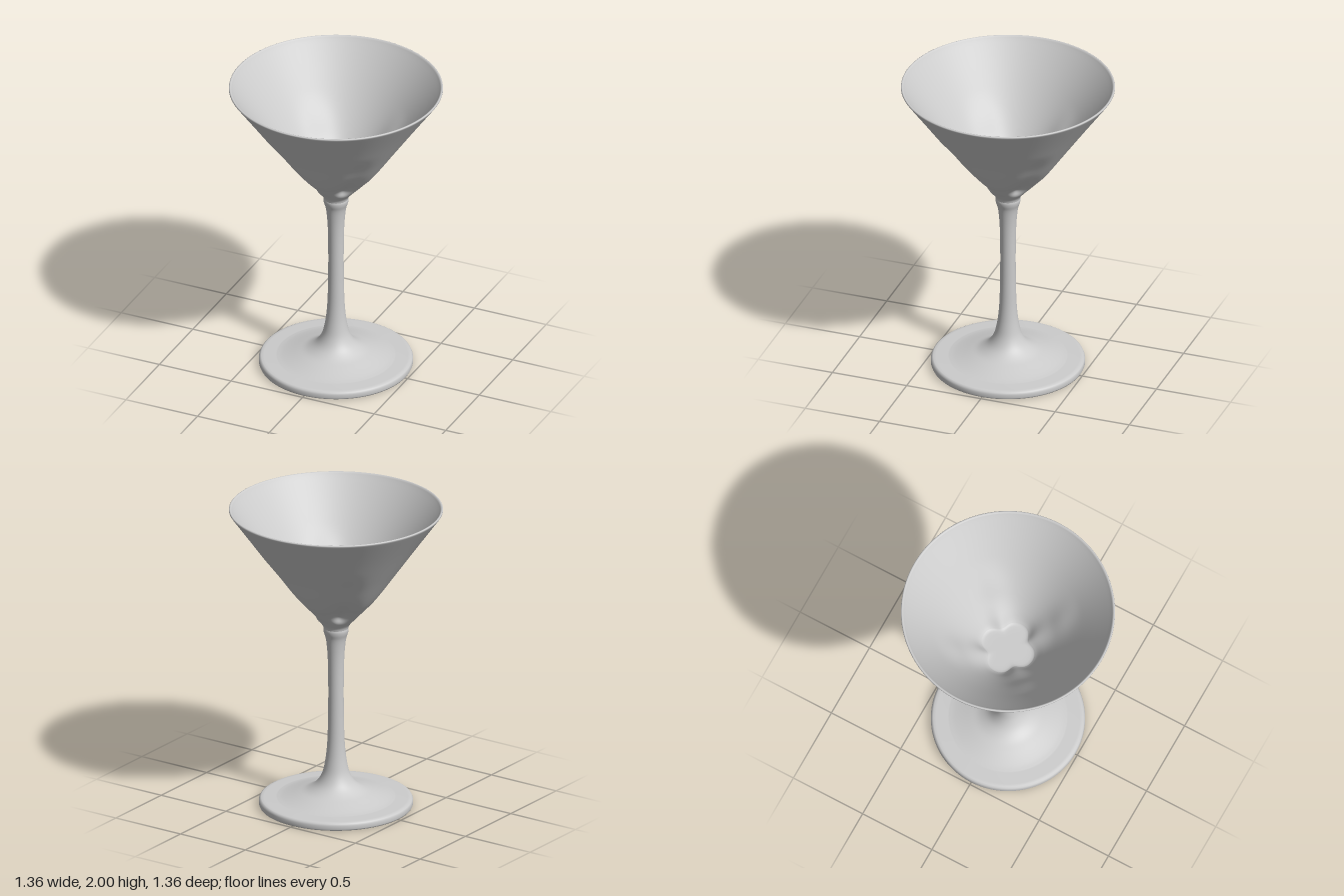
import * as THREE from 'three';
import { mergeVertices } from 'three/addons/utils/BufferGeometryUtils.js';

const SEGMENTS = 128;

// Smooth profile through a few [radius, height] points
function smooth(points, count) {
  const curve = new THREE.CatmullRomCurve3(points.map(([r, y]) => new THREE.Vector3(r, y, 0)), false, 'centripetal');
  return curve.getPoints(count).map(p => [Math.max(p.x, 0), p.y]);
}

// Turned part, optionally reshaped, with normals shared across the seam
function turned(name, profile, material, reshape) {
  const lathe = new THREE.LatheGeometry(profile.map(([r, y]) => new THREE.Vector2(r, y)), SEGMENTS);
  if (reshape) reshape(lathe.attributes.position);
  lathe.deleteAttribute('uv');
  lathe.deleteAttribute('normal');
  const geometry = mergeVertices(lathe, 1e-5);
  geometry.computeVertexNormals();
  const mesh = new THREE.Mesh(geometry, material);
  mesh.name = name;
  return mesh;
}

// Four soft grooves pressed into the lower bowl on the diagonals
function pressGrooves(position) {
  const step = THREE.MathUtils.smoothstep;
  for (let i = 0; i < position.count; i++) {
    const x = position.getX(i), y = position.getY(i), z = position.getZ(i);
    const r = Math.hypot(x, z);
    if (r < 0.01) continue;
    const offset = Math.atan2(Math.abs(z), Math.abs(x)) - Math.PI / 4;
    const width = THREE.MathUtils.lerp(0.36, 0.2, step(y, 1.3, 1.7));
    const along = step(y, 1.25, 1.32) * (1 - 0.65 * step(y, 1.33, 1.5)) * (1 - step(y, 1.55, 1.73));
    const depth = 0.045 * along * Math.exp(-((offset / width) ** 2)) * step(r, 0.04, 0.16);
    position.setX(i, x * (1 - depth / r));
    position.setZ(i, z * (1 - depth / r));
  }
}

export function createModel() {
  const glass = new THREE.MeshStandardMaterial({ color: 0xcccccc });
  glass.name = 'pale grey glass';
  const group = new THREE.Group();
  group.name = 'cocktailGlass';

  // Flat underside
  const underside = new THREE.Mesh(new THREE.CircleGeometry(0.475, SEGMENTS), glass);
  underside.name = 'footUnderside';
  underside.rotation.x = Math.PI / 2;
  group.add(underside);

  // Rounded disc edge, sloping foot and slender stem
  const stemProfile = [
    [0.475, 0], [0.484, 0.004], [0.488, 0.013], [0.488, 0.035], [0.483, 0.047], [0.473, 0.053], [0.455, 0.054],
    ...smooth([
      [0.38, 0.056], [0.34, 0.063], [0.25, 0.088], [0.18, 0.112], [0.125, 0.152], [0.09, 0.21],
      [0.07, 0.29], [0.057, 0.4], [0.051, 0.55], [0.049, 0.75], [0.051, 0.95], [0.057, 1.06],
      [0.066, 1.13], [0.077, 1.165], [0.08, 1.185], [0.078, 1.2],
    ], 70),
  ];
  group.add(turned('footAndStem', stemProfile, glass));

  // Conical bowl: outer wall, rim, inner wall and level floor
  const outer = smooth([
    [0.077, 1.19], [0.085, 1.215], [0.12, 1.257], [0.158, 1.295], [0.205, 1.345],
    [0.255, 1.4], [0.405, 1.61], [0.54, 1.8], [0.672, 1.982],
  ], 60);
  const rim = [[0.678, 1.991], [0.677, 1.997], [0.672, 2], [0.665, 1.998], [0.66, 1.99]];
  const inner = smooth([
    [0.652, 1.978], [0.522, 1.8], [0.387, 1.61], [0.237, 1.4], [0.195, 1.342], [0.178, 1.324],
  ], 50);
  const floor = [[0.17, 1.319], [0.155, 1.317], [0.13, 1.316], [0.09, 1.316], [0.05, 1.316], [0, 1.316]];
  group.add(turned('bowl', [...outer, ...rim, ...inner, ...floor], glass, pressGrooves));

  return group;
}
